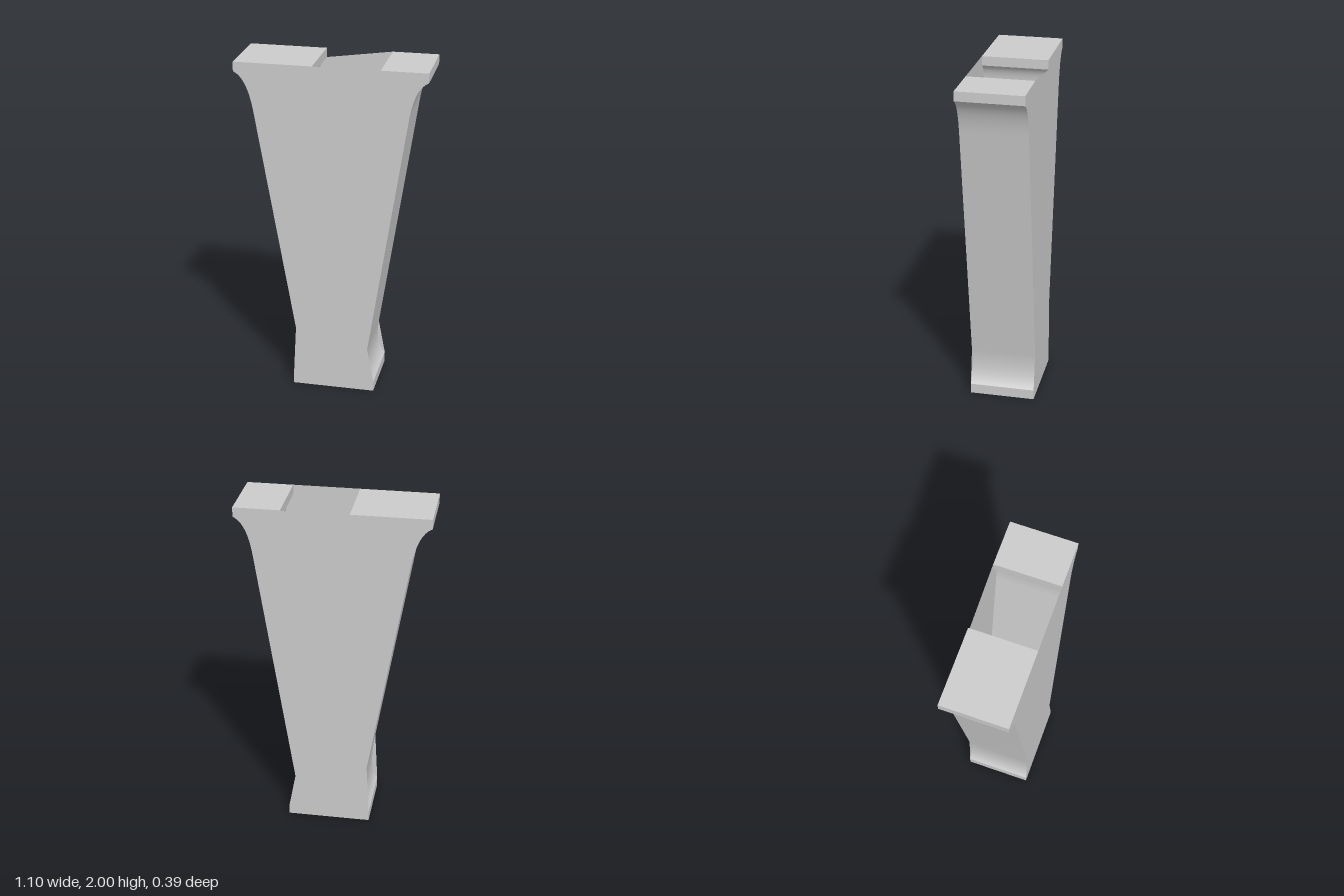
import * as THREE from 'three';

const DEPTH = 0.193; // half thickness along z
const material = new THREE.MeshStandardMaterial({ color: 0xcccccc, side: THREE.DoubleSide });

// Points along a curved bracket between two profile points
function bracket(a, c, b) {
  return new THREE.QuadraticBezierCurve(
    new THREE.Vector2(...a), new THREE.Vector2(...c), new THREE.Vector2(...b)
  ).getPoints(12).map(p => [p.x, p.y]);
}

// Wall swept through the thickness along one smooth run of profile points
function wall(points) {
  const position = [], index = [];
  points.forEach(([x, y], i) => {
    position.push(x, y, DEPTH, x, y, -DEPTH);
    if (i > 0) {
      const a = 2 * (i - 1);
      index.push(a, a + 1, a + 3, a, a + 3, a + 2);
    }
  });
  const geometry = new THREE.BufferGeometry();
  geometry.setAttribute('position', new THREE.Float32BufferAttribute(position, 3));
  geometry.setIndex(index);
  geometry.computeVertexNormals();
  return geometry;
}

function plate(points) {
  return new THREE.ShapeGeometry(new THREE.Shape(points.map(p => new THREE.Vector2(...p))));
}

export function createModel() {
  const group = new THREE.Group();
  const add = (name, geometry) => {
    const mesh = new THREE.Mesh(geometry, material);
    mesh.name = name;
    group.add(mesh);
  };

  // Outer flanks, going counter-clockwise
  const rightFoot = bracket([0.265, 0.06], [0.203, 0.12], [0.225, 0.275]);
  const rightHead = bracket([0.447, 1.73], [0.475, 1.91], [0.552, 1.945]);
  const leftHead = bracket([-0.552, 1.945], [-0.47, 1.91], [-0.437, 1.7]);
  const leftFoot = bracket([-0.209, 0.375], [-0.166, 0.12], [-0.225, 0.06]);

  // Inner flanks of the V-shaped slot
  const crotch = [0.105, 0.29];
  const rightInner = [...bracket([0.285, 1.945], [0.347, 1.92], [0.325, 1.75]), crotch];
  const leftInner = [crotch, ...bracket([-0.135, 1.74], [-0.165, 1.92], [-0.1, 1.945])];

  add('rightFlank', wall([...rightFoot, ...rightHead]));
  add('leftFlank', wall([...leftHead, ...leftFoot]));
  add('slotRightWall', wall(rightInner));
  add('slotLeftWall', wall(leftInner));

  // Flat base, top pads and their edges
  const flats = {
    base: [[-0.225, 0], [0.265, 0]],
    rightFootEdge: [[0.265, 0], [0.265, 0.06]],
    leftFootEdge: [[-0.225, 0.06], [-0.225, 0]],
    rightPadOuterEdge: [[0.552, 1.945], [0.552, 2]],
    rightPadTop: [[0.552, 2], [0.285, 2]],
    rightPadInnerEdge: [[0.285, 2], [0.285, 1.945]],
    leftPadInnerEdge: [[-0.1, 1.945], [-0.1, 2]],
    leftPadTop: [[-0.1, 2], [-0.552, 2]],
    leftPadOuterEdge: [[-0.552, 2], [-0.552, 1.945]],
  };
  for (const [name, points] of Object.entries(flats)) add(name, wall(points));

  // Front and back plates span straight across the foot brackets;
  // the back one has a sloping notch above the slot
  const outline = notch => [
    [-0.225, 0], [0.265, 0], [0.265, 0.06], [0.225, 0.275],
    ...rightHead, [0.552, 2], ...notch, [-0.552, 2],
    ...leftHead, [-0.209, 0.375], [-0.225, 0.06],
  ];
  add('frontPlate', plate(outline([])).translate(0, 0, DEPTH));
  const back = outline([[0.285, 2], [-0.1, 1.945], [-0.1, 2]]).map(([x, y]) => [-x, y]);
  add('backPlate', plate(back).rotateY(Math.PI).translate(0, 0, -DEPTH));

  return group;
}
